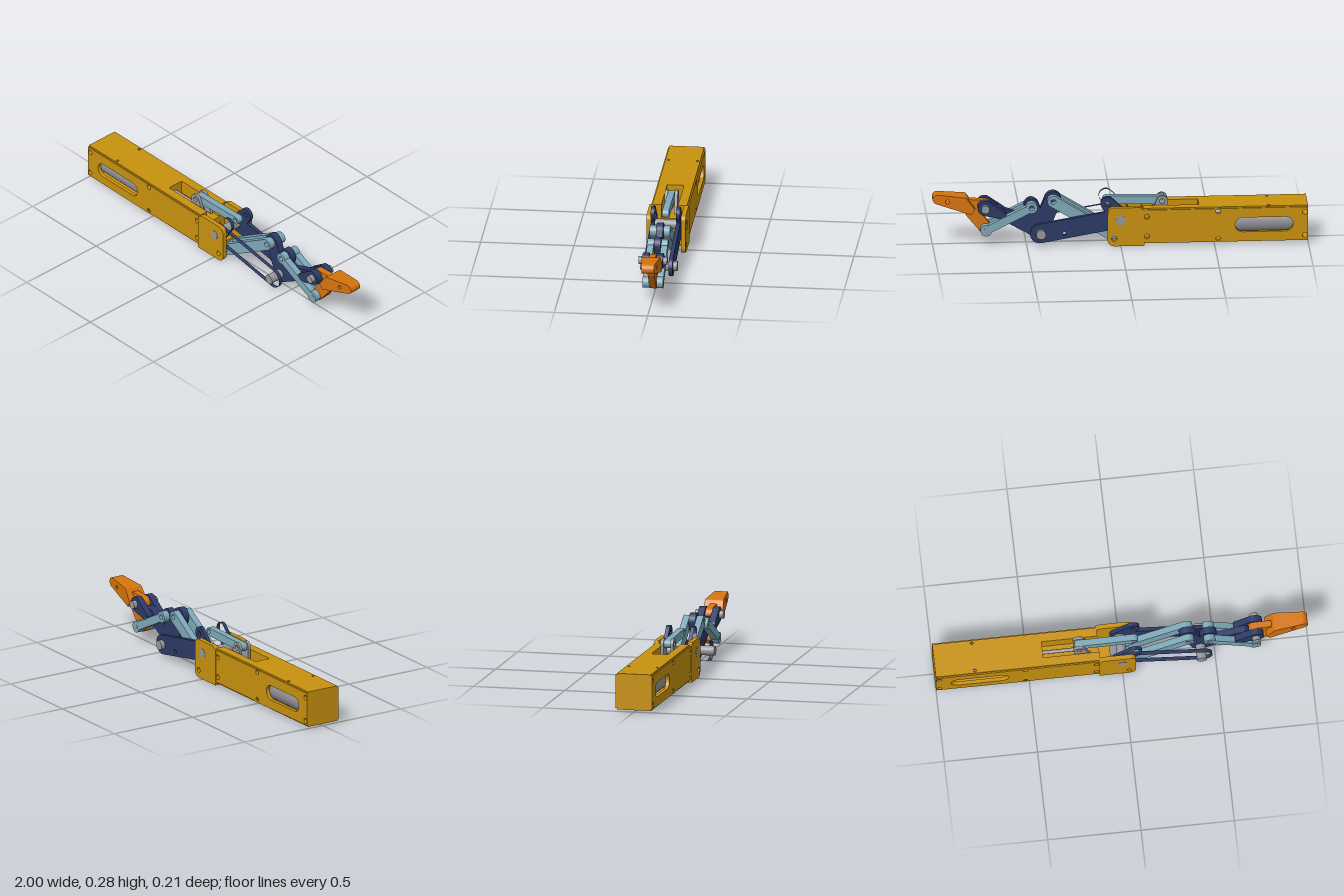
import * as THREE from 'three';

const mat = (name, color, side = THREE.FrontSide) => {
  const m = new THREE.MeshStandardMaterial({ color, side });
  m.name = name;
  return m;
};

// Convex outline around a set of [x, y, r] circles (r = 0 gives a sharp corner)
function hull(circles) {
  const pts = [];
  for (const [x, y, r] of circles) {
    const n = r ? 36 : 1;
    for (let i = 0; i < n; i++) {
      const a = (i / n) * Math.PI * 2;
      pts.push(new THREE.Vector2(x + r * Math.cos(a), y + r * Math.sin(a)));
    }
  }
  pts.sort((a, b) => a.x - b.x || a.y - b.y);
  const chain = (list) => {
    const out = [];
    for (const p of list) {
      while (out.length > 1) {
        const a = out[out.length - 2], b = out[out.length - 1];
        if ((b.x - a.x) * (p.y - a.y) - (b.y - a.y) * (p.x - a.x) > 1e-9) break;
        out.pop();
      }
      out.push(p);
    }
    out.pop();
    return out;
  };
  return [...chain(pts), ...chain([...pts].reverse())];
}

const rect = (x0, y0, x1, y1) => [[x0, y0, 0], [x1, y0, 0], [x1, y1, 0], [x0, y1, 0]];

// Flat part between z0 and z1; each hole is a list of circles
function plateGeometry(circles, z0, z1, holes = []) {
  const shape = new THREE.Shape(hull(circles));
  for (const h of holes) shape.holes.push(new THREE.Path(hull(h)));
  const g = new THREE.ExtrudeGeometry(shape, { depth: z1 - z0, bevelEnabled: false });
  return g.translate(0, 0, z0);
}

export function createModel() {
  const model = new THREE.Group();
  model.name = 'linkageFinger';
  const yellow = mat('housing yellow', 0xc9920f);
  const navy = mat('navy', 0x2c3a66);
  const navyThin = mat('navy', 0x2c3a66, THREE.DoubleSide);
  const blue = mat('pale blue', 0x7ea9b8);
  const orange = mat('fingertip orange', 0xd6740e);
  const grey = mat('steel grey', 0x98989c);

  const add = (name, geometry, material, parent = model) => {
    const m = new THREE.Mesh(geometry, material);
    m.name = name;
    parent.add(m);
    return m;
  };
  const plate = (name, material, circles, z0, z1, holes) =>
    add(name, plateGeometry(circles, z0, z1, holes), material);
  // The same plate on both sides
  const pair = (name, material, circles, z0, z1, holes) => {
    plate(name + 'Left', material, circles, z0, z1, holes);
    plate(name + 'Right', material, circles, -z1, -z0, holes);
  };
  const pin = (name, x, y, r, half) =>
    add(name, new THREE.CylinderGeometry(r, r, half * 2, 32).rotateX(Math.PI / 2).translate(x, y, 0), grey);
  const box = (name, material, x0, x1, y0, y1, z0, z1) =>
    add(name, new THREE.BoxGeometry(x1 - x0, y1 - y0, z1 - z0)
      .translate((x0 + x1) / 2, (y0 + y1) / 2, (z0 + z1) / 2), material);

  // Housing: side walls with a window and screw holes
  const screwHoles = [[-0.983, 0.17], [-0.983, 0.04], [-0.52, 0.183], [-0.52, 0.028],
    [-0.14, 0.16], [-0.14, 0.05]].map(([x, y]) => [[x, y, 0.014]]);
  const slot = [[-0.88, 0.105, 0.04], [-0.65, 0.105, 0.04]];
  pair('sideWall', yellow, rect(-1, 0.018, -0.12, 0.198), 0.08, 0.1, [slot, ...screwHoles]);
  plate('endWall', yellow, rect(-1, 0.018, -0.95, 0.198), -0.08, 0.08, screwHoles.slice(0, 2));

  // Housing: roof and floor, drawn in plan and laid flat
  const flat = (name, circles, y0, y1, holes) =>
    add(name, plateGeometry(circles, y0, y1, holes).rotateX(-Math.PI / 2), yellow);
  flat('roof', rect(-1, -0.093, -0.42, 0.093), 0.19, 0.206,
    [[[-0.79, 0.078, 0.008]], [[-0.79, -0.078, 0.008]]]);
  for (const s of [-1, 1]) {
    box('roofRail', yellow, -0.42, -0.12, 0.19, 0.206, s > 0 ? 0.045 : -0.093, s > 0 ? 0.093 : -0.045);
    box('slotWall', yellow, -0.42, -0.12, 0.02, 0.19, s > 0 ? 0.045 : -0.08, s > 0 ? 0.08 : -0.045);
  }
  flat('floor', rect(-1, -0.093, -0.12, 0.093), 0.01, 0.026, [rect(-0.93, -0.02, -0.89, 0.02)]);
  box('slotFloor', yellow, -0.42, -0.12, 0.026, 0.13, -0.045, 0.045);
  box('slotEnd', yellow, -0.44, -0.42, 0.026, 0.19, -0.08, 0.08);

  // Housing: cheeks around the main pivot
  pair('cheek', yellow, [[-0.125, 0, 0], [0.033, 0.038, 0.038], [0.04, 0.185, 0.03],
    [-0.1, 0.215, 0], [-0.125, 0.2, 0]], 0.08, 0.105, [[[0.035, 0.042, 0.014]]]);
  box('cheekFloor', yellow, -0.125, -0.055, 0, 0.012, -0.08, 0.08);

  // Motor, push rod and clevis
  const axial = (name, r, x0, x1, y) => add(name,
    new THREE.CylinderGeometry(r, r, x1 - x0, 40).rotateZ(Math.PI / 2).translate((x0 + x1) / 2, y, 0), grey);
  axial('motor', 0.077, -0.95, -0.45, 0.108);
  axial('pushRod', 0.01, -0.45, -0.2, 0.16);
  pair('clevis', grey, [[-0.225, 0.225, 0.03], [-0.25, 0.14, 0], [-0.16, 0.14, 0]], 0.019, 0.035,
    [[[-0.225, 0.225, 0.014]]]);

  // Drive link from the clevis to the first segment
  plate('driveLink', blue, [[-0.225, 0.225, 0.022], [0.07, 0.232, 0.022]], -0.018, 0.018,
    [[[-0.225, 0.225, 0.014]], [[0.07, 0.232, 0.013]]]);

  // First segment: solid plate on the right, open rim on the left
  const crank = [[0, 0.145, 0.05], [0.07, 0.232, 0.037]];
  const beam = [[0, 0.145, 0.052], [0.43, 0.07, 0.053]];
  const crankHole = [[[0.07, 0.232, 0.013]]];
  const beamHole = [[[0.3, 0.068, 0.01]]];
  plate('firstSegmentCrank', navy, crank, -0.078, -0.057, crankHole);
  plate('firstSegmentBeam', navy, beam, -0.078, -0.057, beamHole);
  for (const outline of [crank, beam]) {
    const g = plateGeometry(outline, 0.057, 0.078);
    const walls = g.groups.find((q) => q.materialIndex === 1);
    g.clearGroups();
    g.addGroup(walls.start, walls.count, 0);
    add('firstSegmentRim', g, [navyThin]);
  }

  // Coupler rods
  const rod = (name, a, b) => pair(name, blue, [[...a, 0.031], [...b, 0.031]], 0.02, 0.055,
    [[[...a, 0.014]], [[...b, 0.014]]]);
  const slimRod = (name, a, b) => {
    const lerp = (t) => [a[0] + (b[0] - a[0]) * t, a[1] + (b[1] - a[1]) * t];
    pair(name, blue, [[...lerp(0.13), 0.022], [...lerp(0.87), 0.022]], 0.02, 0.055);
    for (const p of [a, b])
      pair(name + 'Eye', blue, [[...p, 0.031]], 0.02, 0.055, [[[...p, 0.014]]]);
  };
  rod('lowerCoupler', [0.035, 0.042], [0.357, 0.24]);
  slimRod('upperCoupler', [0.472, 0.207], [0.715, 0.085]);

  // Middle segment: hub with two rocker arms and a forked beam
  const hub = [0.425, 0.07];
  for (const [x, y, r] of [[0.357, 0.24, 0.045], [0.472, 0.207, 0.041]])
    plate('rockerArm', navy, [[...hub, 0.045], [x, y, r]], -0.018, 0.018, [[[x, y, 0.014]]]);
  plate('middleBeam', navy, [[...hub, 0.048], [0.66, 0.182, 0.028]], -0.018, 0.018);
  pair('middleFork', navy, [[0.63, 0.17, 0.022], [0.72, 0.21, 0.041]], 0.02, 0.055);

  // Fingertip: narrow lever and tapered pad
  plate('fingertipLever', orange, [[0.715, 0.085, 0.033], [0.79, 0.18, 0.035]], -0.018, 0.018);
  plate('fingertipNeck', orange, [[0.72, 0.21, 0.035], [0.8, 0.215, 0.035]], -0.018, 0.018);
  const pad = plateGeometry([[0.775, 0.205, 0], [0.795, 0.175, 0], [0.84, 0.205, 0.015],
    [0.83, 0.255, 0.015], [0.974, 0.259, 0.026]], -1, 1, [[[0.92, 0.247, 0.011]]]);
  const p = pad.attributes.position;
  for (let i = 0; i < p.count; i++)
    p.setZ(i, p.getZ(i) * (0.055 - 0.022 * (p.getX(i) - 0.775) / 0.225));
  pad.computeVertexNormals();
  add('fingertipPad', pad, orange);

  // Pivot pins
  pin('mainPin', 0, 0.145, 0.026, 0.1065);
  pin('middlePin', 0.425, 0.07, 0.026, 0.1);
  pin('tipPin', 0.72, 0.21, 0.022, 0.077);
  pin('leverPin', 0.715, 0.085, 0.015, 0.056);
  return model;
}
